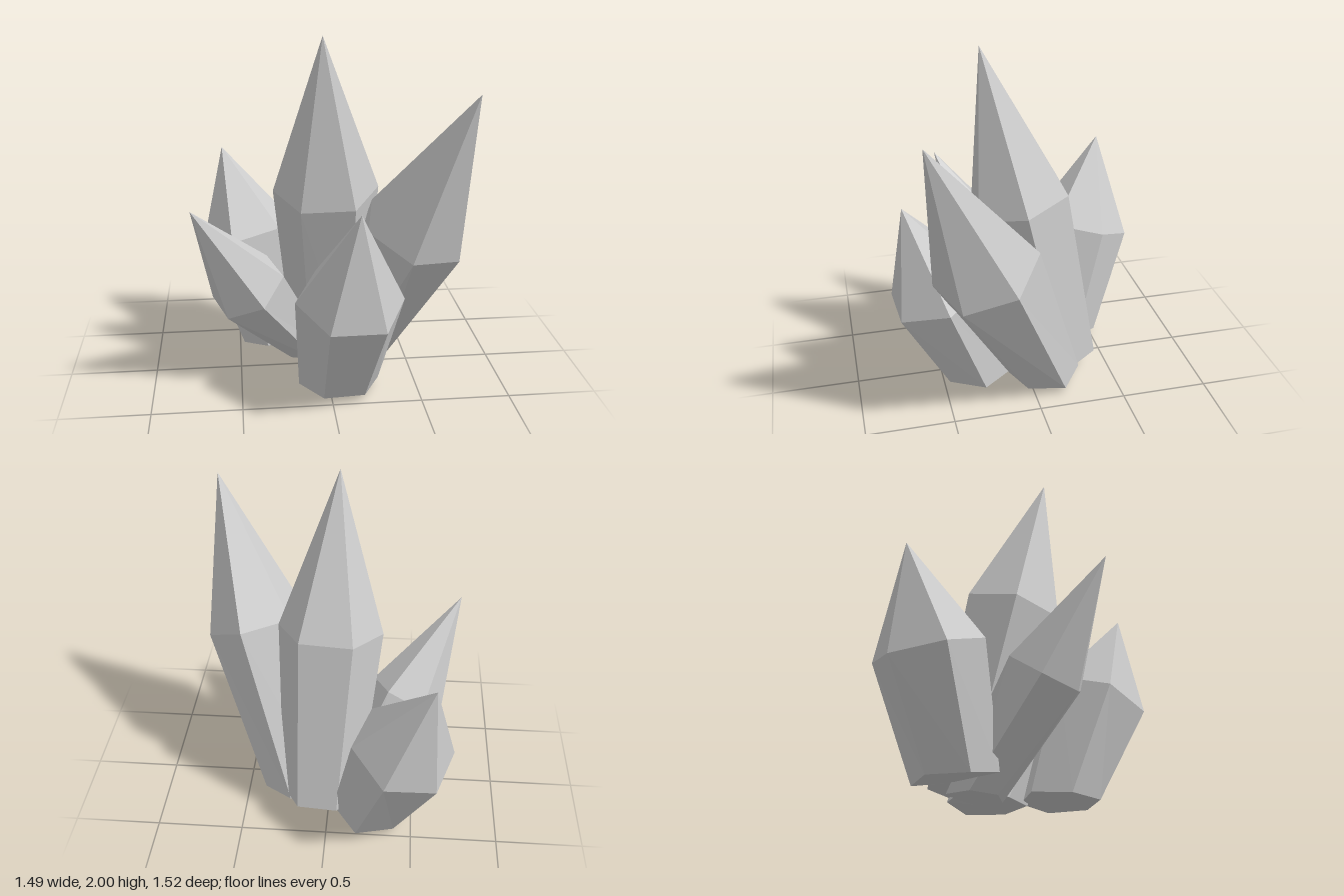
import * as THREE from 'three';

const SIDES = 6;
const material = new THREE.MeshStandardMaterial({ color: 0xcccccc, flatShading: true });

// A leaning six-sided crystal: narrow foot, wide shoulder, pointed tip.
// tip and shoulder are points on its axis, corner is one corner of the shoulder ring.
function crystal(name, tip, shoulder, corner, radius, ground) {
  const top = new THREE.Vector3(...tip);
  const mid = new THREE.Vector3(...shoulder);
  const axis = top.clone().sub(mid);
  const tipLength = axis.length();
  const bodyLength = tipLength * 1.174;
  axis.normalize();

  const geometry = new THREE.LatheGeometry([
    new THREE.Vector2(0, -bodyLength),
    new THREE.Vector2(radius * 0.77, -bodyLength),
    new THREE.Vector2(radius, 0),
    new THREE.Vector2(0, tipLength),
  ], SIDES);

  // Lean it along its axis, turned so a ring corner points at the given corner
  const out = new THREE.Vector3(...corner).sub(mid);
  out.addScaledVector(axis, -out.dot(axis)).normalize();
  const side = new THREE.Vector3().crossVectors(axis, out);
  geometry.applyMatrix4(new THREE.Matrix4().makeBasis(side, axis, out).setPosition(mid));

  // Flatten the foot where it would sink below the ground
  const p = geometry.attributes.position;
  for (let i = 0; i < p.count; i++) p.setY(i, Math.max(p.getY(i), ground));

  const faceted = geometry.toNonIndexed();
  faceted.computeVertexNormals();
  const mesh = new THREE.Mesh(faceted, material);
  mesh.name = name;
  return mesh;
}

export function createModel() {
  const group = new THREE.Group();
  group.name = 'crystalCluster';
  group.add(
    crystal('centreCrystal', [-0.03, 2, 0.22], [0.007, 1.11, 0.015], [0.305, 1.12, 0.03], 0.3, 0.03),
    crystal('leftCrystal', [0.715, 1.76, 0.63], [0.47, 0.945, 0.3], [0.745, 0.91, 0.185], 0.3, 0.035),
    crystal('frontCrystal', [0.12, 1.175, 0.69], [0.09, 0.63, 0.507], [-0.205, 0.63, 0.525], 0.3, 0.037),
    crystal('backCrystal', [-0.58, 1.2, -0.625], [-0.43, 0.667, -0.48], [-0.145, 0.735, -0.55], 0.3, 0.03),
    crystal('rightCrystal', [-0.745, 1.12, 0.385], [-0.45, 0.57, 0.12], [-0.25, 0.65, 0.18], 0.225, 0),
  );
  return group;
}
